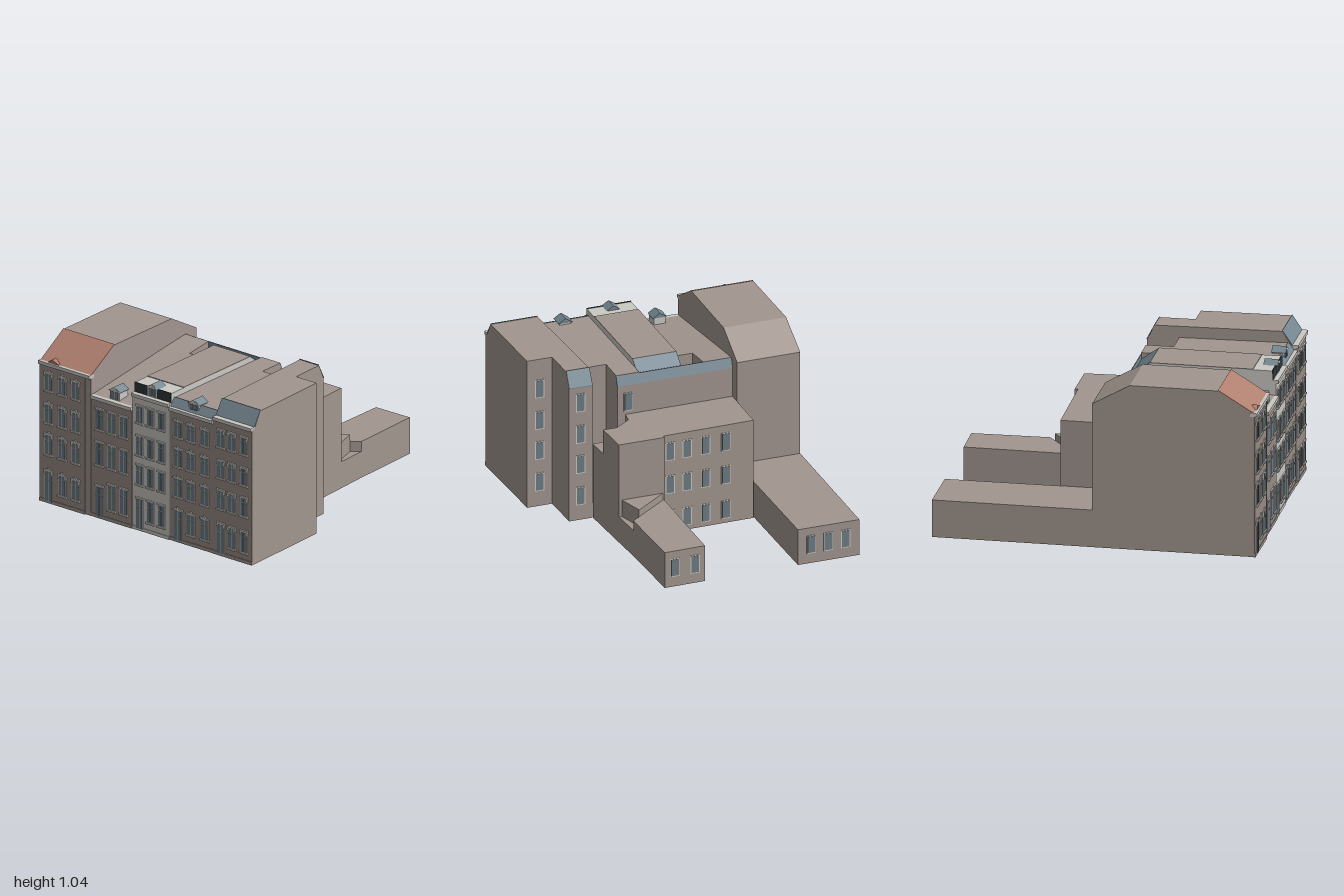
import * as THREE from 'three';

const material = (name, color) => {
  const m = new THREE.MeshStandardMaterial({ color });
  m.name = name;
  return m;
};

export function createModel() {
  const root = new THREE.Group();
  root.name = 'rowOfTownhouses';
  const brick = material('brick', 0xa2968f);
  const facade = material('facadeBrick', 0x9a8c86);
  const pale = material('paleStone', 0xcbc9c4);
  const glass = material('windowGlass', 0x6d7c84);
  const slate = material('blueSlate', 0x778892);
  const dark = material('darkSlate', 0x2f3739);
  const tile = material('redTile', 0xb08070);

  const add = (name, geo, mat, parent = root) => {
    const m = new THREE.Mesh(geo, mat);
    m.name = name;
    parent.add(m);
    return m;
  };
  const box = (name, x0, x1, y0, y1, z0, z1, mat, parent = root) => {
    const m = add(name, new THREE.BoxGeometry(x1 - x0, y1 - y0, z1 - z0), mat, parent);
    m.position.set((x0 + x1) / 2, (y0 + y1) / 2, (z0 + z1) / 2);
    return m;
  };
  // Upright prism over a footprint of [x, z] corners
  const prism = (name, pts, y0, y1, mat) => {
    const s = new THREE.Shape(pts.map(([x, z]) => new THREE.Vector2(x, -z)));
    const g = new THREE.ExtrudeGeometry(s, { depth: y1 - y0, bevelEnabled: false });
    g.rotateX(-Math.PI / 2).translate(0, y0, 0);
    return add(name, g, mat);
  };
  // Side line of a plot: x as a function of z, through two points
  const line = (xa, za, xb, zb) => (z) => xa + ((xb - xa) * (z - za)) / (zb - za);
  // Side profile of [z, y] corners, stretched between two plot lines
  const slab = (name, profile, left, right, mat) => {
    const s = new THREE.Shape(profile.map(([z, y]) => new THREE.Vector2(-z, y)));
    const g = new THREE.ExtrudeGeometry(s, { depth: 1, bevelEnabled: false });
    const p = g.attributes.position;
    for (let i = 0; i < p.count; i++) {
      const z = -p.getX(i);
      p.setXYZ(i, THREE.MathUtils.lerp(left(z), right(z), p.getZ(i)), p.getY(i), z);
    }
    g.computeVertexNormals();
    return add(name, g, mat);
  };
  const plate = (name, z0, y0, z1, y1, left, right, mat) =>
    slab(name, [[z0, y0], [z1, y1], [z1, y1 + 0.006], [z0, y0 + 0.006]], left, right, mat);

  // Plot lines
  const lineA = line(-0.815, 0.98, -0.825, 0);
  const lineAB = () => -0.42;
  const lineBC = line(-0.105, 0.97, -0.11, 0.08);
  const lineCD = line(0.18, 0.97, 0.172, 0.08);
  const lineDE = line(0.525, 0.97, 0.482, 0.06);
  const lineE = line(0.825, 0.97, 0.8, 0.33);
  const wellB = () => -0.24;
  const wellD = () => 0.32;
  const stepE = line(0.64, 0.33, 0.632, 0.06);

  // Tall house with tiled front slope
  slab('tallHouse', [[0.98, 0], [0.98, 0.905], [0.76, 1.04], [0.22, 1.04], [-0.01, 0.91], [-0.01, 0]], lineA, lineAB, brick);
  plate('tiledFrontSlope', 0.985, 0.902, 0.76, 1.039, lineA, lineAB, tile);
  const pediment = new THREE.Shape([[-0.755, 0.91], [-0.655, 0.91], [-0.72, 0.935]].map((p) => new THREE.Vector2(...p)));
  add('smallPediment', new THREE.ExtrudeGeometry(pediment, { depth: 0.035, bevelEnabled: false }), tile).position.z = 0.95;

  // Second house, with a light well at the back
  slab('lowHouse', [[0.97, 0], [0.97, 0.785], [0.27, 0.878], [0.27, 0]], lineAB, lineBC, brick);
  slab('lowHouseWing', [[0.27, 0], [0.27, 0.878], [0.09, 0.9], [0.09, 0]], lineAB, wellB, brick);

  // Pale middle house
  slab('paleHouse', [[0.968, 0], [0.968, 0.87], [0.95, 0.88], [0.948, 0.94], [0.2, 0.94], [0.08, 0.85], [0.08, 0]], lineBC, lineCD, pale);
  plate('paleHouseRoof', 0.83, 0.938, 0.2, 0.938, lineBC, lineCD, brick);
  plate('paleHouseBackSlope', 0.2, 0.938, 0.08, 0.849, lineBC, lineCD, slate);
  box('darkMansard', -0.105, 0.18, 0.88, 0.943, 0.946, 0.954, dark);

  // Fourth house, with a light well
  slab('fourthHouse', [[0.962, 0], [0.962, 0.85], [0.92, 0.905], [0.26, 0.905], [0.26, 0]], lineCD, lineDE, brick);
  slab('fourthHouseWing', [[0.26, 0], [0.26, 0.905], [0.09, 0.905], [0.09, 0]], lineCD, wellD, brick);
  plate('fourthHouseMansard', 0.96, 0.852, 0.92, 0.905, lineCD, lineDE, slate);

  // End house, stepped at the back
  slab('endHouse', [[0.962, 0], [0.962, 0.88], [0.94, 0.885], [0.885, 0.976], [0.33, 0.976], [0.33, 0]], lineDE, lineE, brick);
  slab('endHouseWing', [[0.33, 0], [0.33, 0.976], [0.11, 0.976], [0.063, 0.88], [0.063, 0]], lineDE, stepE, brick);
  plate('endHouseMansard', 0.945, 0.885, 0.885, 0.976, lineDE, lineE, slate);
  plate('endHouseBackSlope', 0.11, 0.976, 0.06, 0.88, lineDE, stepE, slate);

  // Shared rear wall with slate mansard
  box('rearWall', -0.42, 0.32, 0, 0.84, 0.07, 0.094, brick);
  slab('rearMansard', [[0.094, 0.84], [0.094, 0.9], [0.09, 0.9], [0.067, 0.84]], lineAB, wellD, slate);

  // Rear block with a cut-out corner, and the low annexes
  prism('rearBlock', [[-0.42, 0.07], [0.48, 0.065], [0.457, -0.315], [0.165, -0.315], [0.165, -0.295], [-0.42, -0.285]], 0, 0.49, brick);
  prism('rearBlockUpper', [[-0.42, 0.07], [0.27, 0.065], [0.28, -0.01], [0.38, -0.085], [0.471, -0.085], [0.457, -0.315], [0.165, -0.315], [0.165, -0.295], [-0.42, -0.285]], 0.49, 0.65, brick);
  prism('longAnnex', [[-0.825, -0.01], [-0.42, -0.01], [-0.435, -0.99], [-0.83, -0.99]], 0, 0.235, brick);
  prism('shortAnnex', [[0.167, -0.31], [0.39, -0.48], [0.443, -0.52], [0.425, -1], [0.165, -0.995]], 0, 0.235, brick);
  prism('annexTerrace', [[0.167, -0.31], [0.457, -0.31], [0.443, -0.52], [0.39, -0.48]], 0, 0.17, brick);
  prism('annexStep', [[0.167, -0.31], [0.44, -0.31], [0.39, -0.48]], 0.17, 0.28, brick);

  // Window or door standing on a wall plane, facing +z
  const opening = (x, y0, y1, z, style) => {
    const g = new THREE.Group();
    g.name = style.door ? 'door' : 'window';
    g.position.set(x, y0, z);
    root.add(g);
    const w = style.w ?? 0.058, h = y1 - y0, half = w / 2;
    box('frame', -half, half, 0, h, 0, 0.004, pale, g);
    const split = h * 0.72;
    for (const s of [-1, 1]) {
      const a = s < 0 ? -half + 0.003 : 0.002, b = s < 0 ? -0.002 : half - 0.003;
      box('pane', a, b, 0.003, split, 0.001, 0.006, glass, g);
      box('transomPane', a, b, split + 0.004, h - 0.003, 0.001, 0.006, glass, g);
    }
    if (!style.door) box('sill', -half - 0.006, half + 0.006, -0.01, 0, 0, 0.012, pale, g);
    box('lintel', -half - 0.005, half + 0.005, h, h + 0.011, 0, 0.009, pale, g);
    if (style.keystone) box('keystone', -0.008, 0.008, h + 0.011, h + 0.022, 0, 0.009, pale, g);
    if (style.ears) for (const s of [-1, 1]) box('lintelEar', s * half - 0.006, s * half + 0.006, h - 0.018, h, 0, 0.008, pale, g);
    return g;
  };

  // Street fronts: span, wall plane, cornice height, columns, rows, ground row
  const fronts = [
    { x: [-0.818, -0.462], z: 0.985, top: 0.912, cols: [-0.745, -0.64, -0.535], rows: [[0.73, 0.838], [0.52, 0.638], [0.315, 0.44]], ground: [0.075, 0.2], mat: facade, style: { keystone: true, ears: true } },
    { x: [-0.42, -0.106], z: 0.976, top: 0.786, cols: [-0.357, -0.262, -0.168], rows: [[0.575, 0.705], [0.345, 0.49]], ground: [0.075, 0.235], mat: facade, style: {} },
    { x: [-0.105, 0.179], z: 0.972, top: 0.882, cols: [-0.047, 0.036, 0.122], rows: [[0.7, 0.805], [0.49, 0.61], [0.3, 0.42]], ground: [0.07, 0.205], mat: pale, style: { w: 0.052 } },
    { x: [0.18, 0.523], z: 0.966, top: 0.862, cols: [0.248, 0.346, 0.455], rows: [[0.68, 0.78], [0.49, 0.6], [0.295, 0.41]], ground: [0.07, 0.2], mat: facade, style: { keystone: true, w: 0.062 } },
    { x: [0.524, 0.824], z: 0.968, top: 0.89, cols: [0.582, 0.667, 0.762], rows: [[0.705, 0.812], [0.505, 0.612], [0.305, 0.42]], ground: [0.07, 0.2], mat: facade, style: { ears: true, w: 0.054 } },
  ];
  for (const f of fronts) {
    const [a, b] = f.x;
    box('facade', a, b, 0, f.top - 0.022, f.z - 0.012, f.z, f.mat);
    box('cornice', a, f === fronts[0] ? -0.42 : b, f.top - 0.022, f.top, f.z - 0.03, f.z + 0.014, pale);
    box('plinth', a, b, 0, 0.022, f.z - 0.01, f.z + 0.004, f.mat === pale ? pale : brick);
    for (const x of f.cols) for (const [y0, y1] of f.rows) opening(x, y0, y1, f.z, f.style);
    f.cols.forEach((x, i) => opening(x, i ? f.ground[0] : 0.01, i ? f.ground[1] : 0.205, f.z, { ...f.style, door: !i }));
  }

  // Gabled dormers
  for (const [x, y, z] of [[-0.26, 0.785, 0.952], [0.036, 0.882, 0.956], [0.35, 0.858, 0.942]]) {
    const g = new THREE.Group();
    g.name = 'dormer';
    g.position.set(x, y, z);
    root.add(g);
    box('dormerBody', -0.037, 0.037, 0, 0.058, -0.08, 0, pale, g);
    for (const s of [-1, 1]) box('dormerPane', s * 0.015 - 0.012, s * 0.015 + 0.012, 0.006, 0.054, 0, 0.004, glass, g);
    const gable = (w, h) => new THREE.Shape([new THREE.Vector2(-w, 0), new THREE.Vector2(w, 0), new THREE.Vector2(0, h)]);
    add('dormerRoof', new THREE.ExtrudeGeometry(gable(0.046, 0.03), { depth: 0.085, bevelEnabled: false }), slate, g).position.set(0, 0.056, -0.082);
    add('dormerGable', new THREE.ExtrudeGeometry(gable(0.044, 0.028), { depth: 0.004, bevelEnabled: false }), pale, g).position.set(0, 0.056, 0.002);
  }

  // Plain rear windows, facing -z
  const rearWindow = (x, y, z, w = 0.06, h = 0.12) => {
    const g = new THREE.Group();
    g.name = 'rearWindow';
    g.position.set(x, y, z);
    root.add(g);
    box('rearFrame', -w / 2, w / 2, -h / 2, h / 2, -0.004, 0.004, pale, g);
    box('rearGlass', -w / 2 + 0.006, w / 2 - 0.006, -h / 2 + 0.006, h / 2 - 0.006, -0.006, 0, glass, g);
  };
  for (const y of [0.54, 0.32, 0.09]) for (const x of [0.12, 0.01, -0.11, -0.24]) rearWindow(x, y, y > 0 ? -0.293 + (0.12 - x) * 0.017 : 0);
  for (const y of [0.16, 0.37, 0.57, 0.78]) {
    rearWindow(0.72, y, 0.33);
    rearWindow(0.56, y, 0.063);
  }
  rearWindow(0.25, 0.73, 0.07);
  for (const x of [-0.74, -0.63, -0.52]) rearWindow(x, 0.125, -0.99);
  for (const x of [0.23, 0.36]) rearWindow(x, 0.125, -0.996);
  return root;
}
